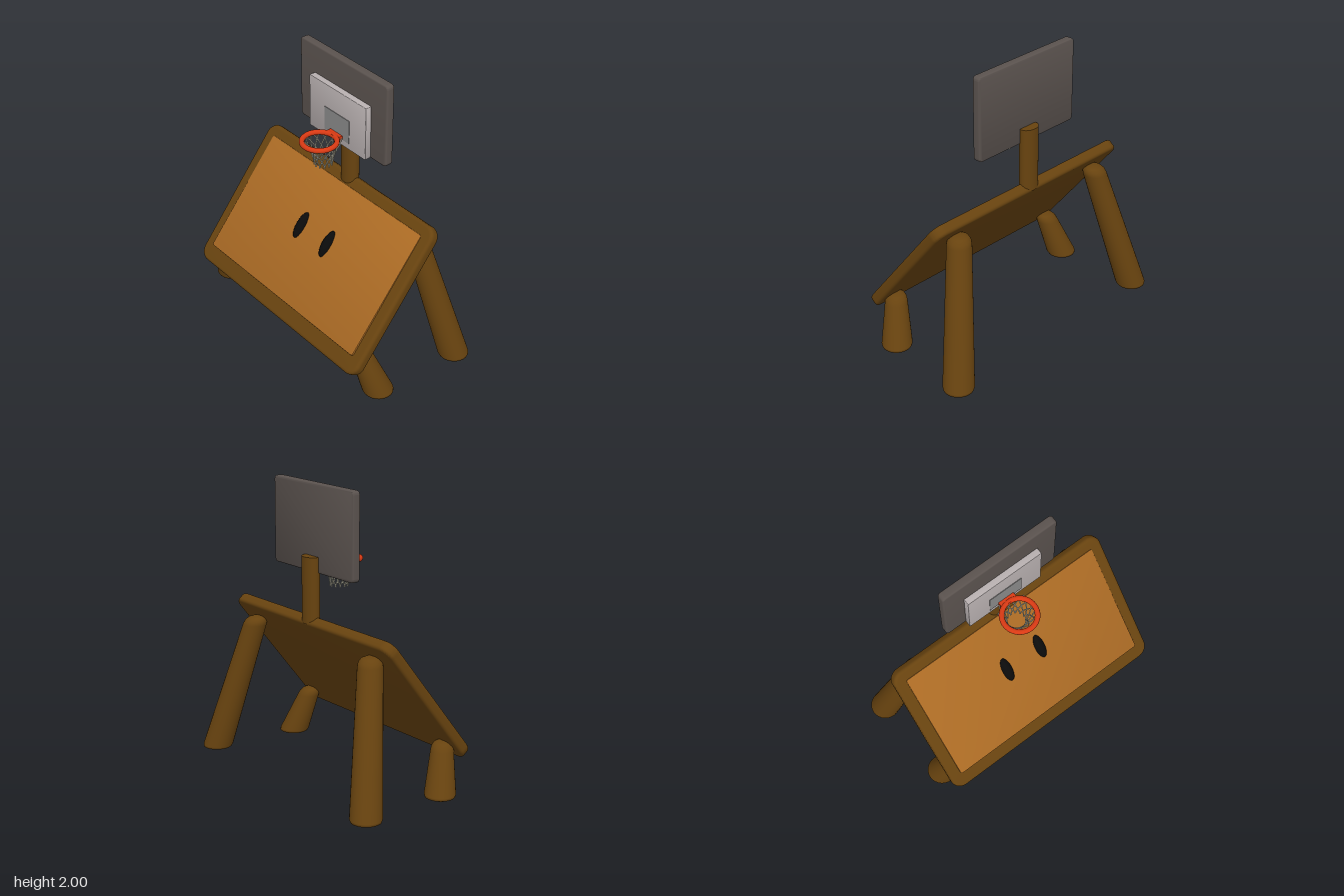
import * as THREE from 'three';
import { toCreasedNormals } from 'three/addons/utils/BufferGeometryUtils.js';

const mat = (name, color) => {
  const m = new THREE.MeshStandardMaterial({ color });
  m.name = name;
  return m;
};

// Slab in the xy plane, centred on the origin, with rounded corners and bevelled edges
function slab(w, h, d, r, bevel) {
  const x = w / 2 - bevel, y = h / 2 - bevel, s = new THREE.Shape();
  s.absarc(x - r, y - r, r, 0, Math.PI / 2);
  s.absarc(r - x, y - r, r, Math.PI / 2, Math.PI);
  s.absarc(r - x, r - y, r, Math.PI, Math.PI * 1.5);
  s.absarc(x - r, r - y, r, Math.PI * 1.5, Math.PI * 2);
  const g = new THREE.ExtrudeGeometry(s, {
    depth: d - 2 * bevel, bevelThickness: bevel, bevelSize: bevel, bevelSegments: 4, curveSegments: 8,
  });
  g.translate(0, 0, bevel - d / 2);
  return toCreasedNormals(g, 0.6);
}

// Tapered leg, flat on the floor and sheared so its rounded top reaches the given point
function legGeometry(foot, top, r0, r1) {
  const h = top.y;
  const profile = [
    [0, 0], [r0 - 0.02, 0], [r0 - 0.005, 0.006], [r0, 0.022],
    [r1, h - 0.06], [r1 * 0.93, h - 0.032], [r1 * 0.72, h - 0.01], [r1 * 0.4, h], [0, h],
  ].map(([x, y]) => new THREE.Vector2(x, y));
  const kx = (top.x - foot.x) / h, kz = (top.z - foot.z) / h;
  return new THREE.LatheGeometry(profile, 28).applyMatrix4(new THREE.Matrix4().set(
    1, kx, 0, foot.x,
    0, 1, 0, 0,
    0, kz, 1, foot.z,
    0, 0, 0, 1));
}

export function createModel() {
  const wood = mat('dark wood', 0x68430f);
  const face = mat('light wood', 0xaa6a24);
  const black = mat('black', 0x0b0b0b);
  const charcoal = mat('charcoal', 0x5a524e);
  const pale = mat('pale grey', 0xb9b1b1);
  const grey = mat('mid grey', 0x8a8a8a);
  const red = mat('orange red', 0xd93a14);
  const cord = mat('net cord', 0xd2cfba);

  const model = new THREE.Group();
  const add = (name, geometry, material, x = 0, y = 0, z = 0, parent = model) => {
    const m = new THREE.Mesh(geometry, material);
    m.name = name;
    m.position.set(x, y, z);
    parent.add(m);
    return m;
  };

  // Leaning body board with its face panel and eyes
  const body = new THREE.Group();
  body.name = 'body';
  body.position.set(0, 0.67, 0.131);
  body.rotation.x = -0.673;
  model.add(body);
  add('bodyBoard', slab(1.72, 1.1, 0.078, 0.06, 0.022), wood, 0, 0, 0, body);
  add('facePanel', slab(1.555, 0.9, 0.03, 0.012, 0.003), face, 0, 0.02, 0.033, body).rotation.x = -0.012;
  for (const s of [-1, 1]) {
    add(s > 0 ? 'leftEye' : 'rightEye', new THREE.SphereGeometry(1, 28, 20), black, s * 0.14, 0.065, 0.042, body)
      .scale.set(0.037, 0.1, 0.04);
  }

  // Four splayed legs
  for (const s of [-1, 1]) {
    const side = s > 0 ? 'left' : 'right';
    const v = (x, y, z) => new THREE.Vector3(s * x, y, z);
    add(side + 'BackLeg', legGeometry(v(0.87, 0, -0.398), v(0.64, 0.985, -0.19), 0.106, 0.083), wood);
    add(side + 'FrontLeg', legGeometry(v(0.83, 0, 0.245), v(0.735, 0.345, 0.342), 0.105, 0.077), wood);
  }

  // Oval post behind the backboard
  add('post', new THREE.CylinderGeometry(0.072, 0.072, 0.45, 32), wood, 0, 1.295, -0.187).scale.z = 0.74;

  // Backboard and its stepped panels
  add('backboard', slab(0.87, 0.59, 0.06, 0.015, 0.012), charcoal, 0, 1.705, -0.145);
  add('innerPanel', slab(0.57, 0.385, 0.046, 0.004, 0.003), pale, 0, 1.603, -0.094);
  add('targetSquare', new THREE.BoxGeometry(0.25, 0.17, 0.006), grey, 0, 1.542, -0.07);

  // Rim and bracket
  add('rim', new THREE.TorusGeometry(0.115, 0.018, 14, 48), red, 0, 1.474, 0.077).rotation.x = Math.PI / 2;
  add('rimBracket', new THREE.BoxGeometry(0.12, 0.026, 0.055), red, 0, 1.474, -0.052);

  // Net of crossing cords
  const net = new THREE.Group();
  net.name = 'net';
  net.position.set(0, 1.29, 0.045);
  model.add(net);
  const cords = 12;
  for (let i = 0; i < cords; i++) {
    for (const dir of [-1, 1]) {
      const pts = [];
      for (let k = 0; k <= 6; k++) {
        const t = k / 6, a = (i / cords) * Math.PI * 2 + dir * (1 - t) * 1.1;
        const r = 0.06 + 0.062 * Math.pow(t, 1.7);
        pts.push(new THREE.Vector3(Math.cos(a) * r, t * 0.18, Math.sin(a) * r));
      }
      add('netCord', new THREE.TubeGeometry(new THREE.CatmullRomCurve3(pts), 12, 0.0042, 6), cord, 0, 0, 0, net);
    }
  }
  return model;
}
